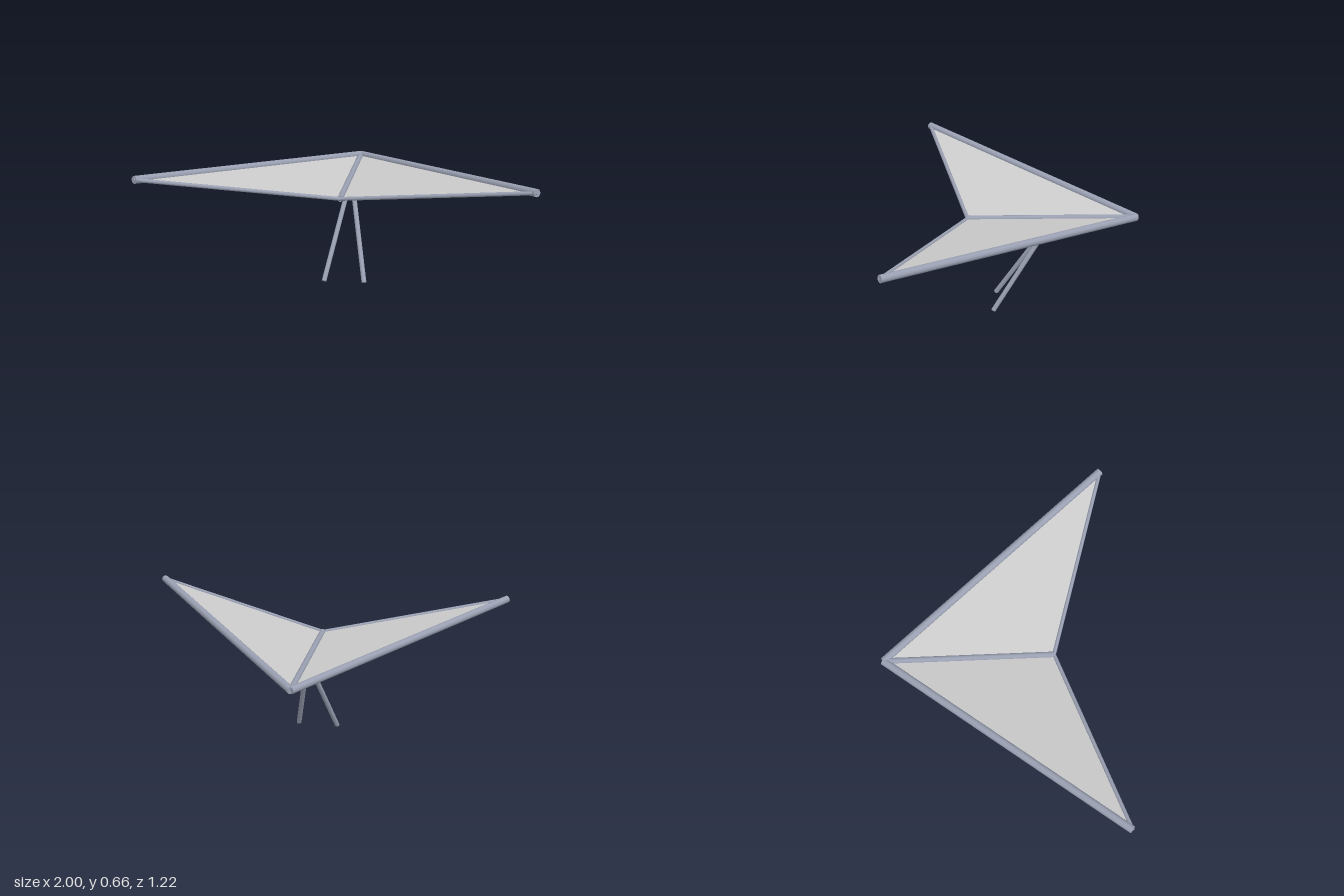
import * as THREE from 'three';

const frameMaterial = new THREE.MeshStandardMaterial({ color: 0x9aa0b2 });
const sailMaterial = new THREE.MeshStandardMaterial({ color: 0xcccccc, side: THREE.DoubleSide });

// Straight capped tube between two points
function tube(name, a, b, radius) {
  const dir = b.clone().sub(a);
  const mesh = new THREE.Mesh(new THREE.CylinderGeometry(radius, radius, dir.length(), 12), frameMaterial);
  mesh.position.copy(a).add(b).multiplyScalar(0.5);
  mesh.quaternion.setFromUnitVectors(new THREE.Vector3(0, 1, 0), dir.normalize());
  mesh.name = name;
  return mesh;
}

// Flat triangular cloth panel
function panel(name, corners) {
  const geometry = new THREE.BufferGeometry().setFromPoints(corners);
  geometry.computeVertexNormals();
  const mesh = new THREE.Mesh(geometry, sailMaterial);
  mesh.name = name;
  return mesh;
}

export function createModel() {
  const model = new THREE.Group();
  model.name = 'hangGlider';

  const nose = new THREE.Vector3(0, 0.53, -0.6);
  const tail = new THREE.Vector3(0, 0.5, 0.29);
  const apex = new THREE.Vector3(0, 0.513, -0.165);

  model.add(tube('keel', nose, tail, 0.016));

  // Each wing: leading edge, trailing edge, sail and control strut
  for (const [side, s] of [['left', 1], ['right', -1]]) {
    const tip = new THREE.Vector3(s * 0.984, 0.645, 0.6);
    const foot = new THREE.Vector3(s * 0.107, 0.008, 0.15);
    model.add(
      tube(side + 'LeadingEdge', nose, tip, 0.02),
      tube(side + 'TrailingEdge', tail, tip, 0.01),
      tube(side + 'Strut', apex, foot, 0.013),
      // corner order keeps the upper face outward on both wings
      panel(side + 'Sail', s > 0 ? [nose, tail, tip] : [nose, tip, tail])
    );
  }
  return model;
}
